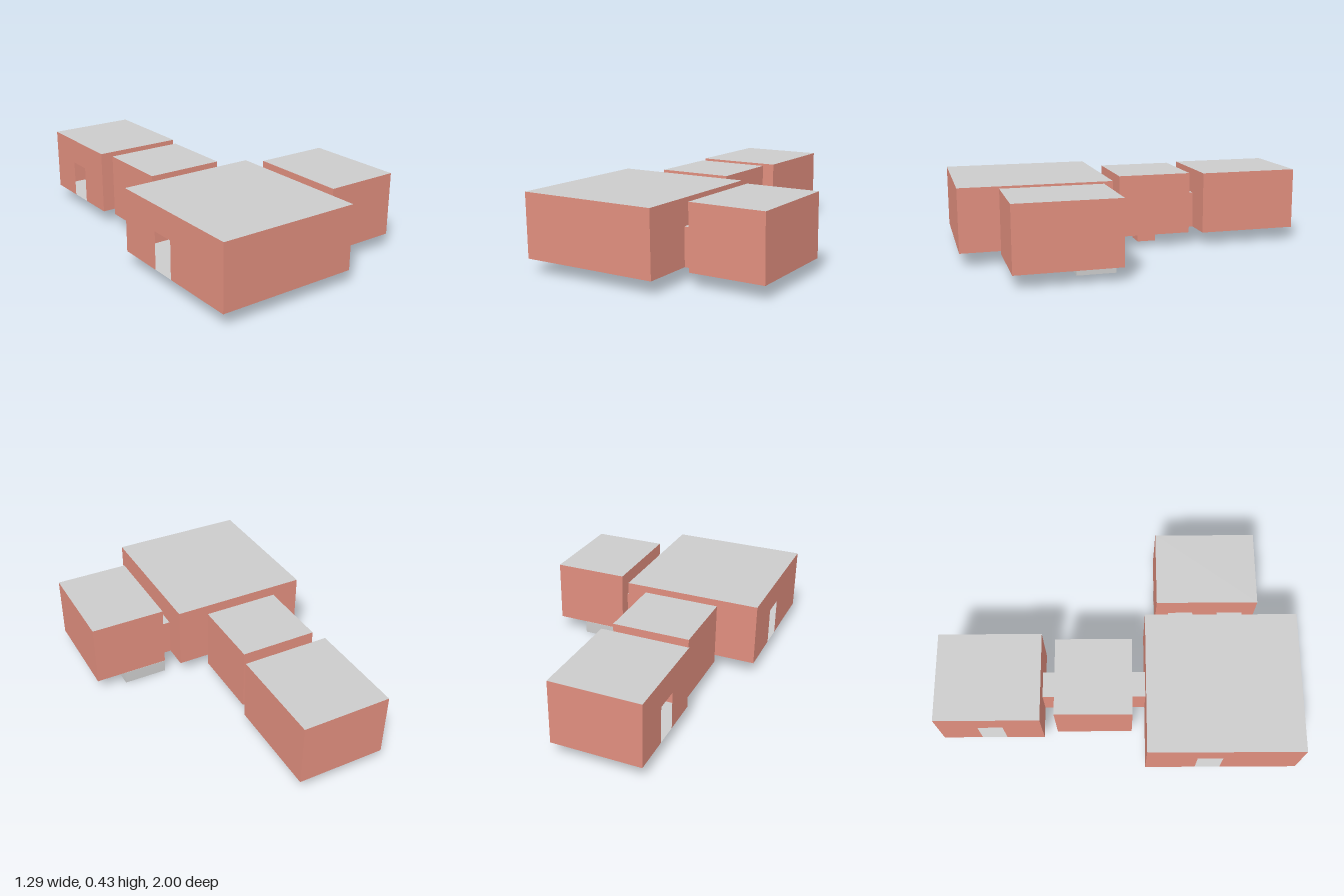
import * as THREE from 'three';

const FLOOR = 0.075, ROOF = 0.43, DOOR = 0.285;
const grey = new THREE.MeshStandardMaterial({ color: 0xcccccc, side: THREE.DoubleSide });
const coral = new THREE.MeshStandardMaterial({ color: 0xe08e7e, side: THREE.DoubleSide });

// Upright sheet along x or z from a to b, with door notches cut from the floor
function wall(axis, a, b, at, top, doors = []) {
  const s = new THREE.Shape();
  s.moveTo(b, top);
  s.lineTo(a, top);
  s.lineTo(a, FLOOR);
  for (const [d0, d1] of doors) {
    s.lineTo(d0, FLOOR);
    s.lineTo(d0, DOOR);
    s.lineTo(d1, DOOR);
    s.lineTo(d1, FLOOR);
  }
  s.lineTo(b, FLOOR);
  s.closePath();
  const m = new THREE.Mesh(new THREE.ShapeGeometry(s), coral);
  if (axis === 'x') m.position.z = at;
  else {
    m.rotation.y = -Math.PI / 2;
    m.position.x = at;
  }
  m.name = 'wall';
  return m;
}

// Level sheet for floors and roofs
function slab(name, [x0, x1, z0, z1], y) {
  const g = new THREE.PlaneGeometry(x1 - x0, z1 - z0).rotateX(-Math.PI / 2);
  const m = new THREE.Mesh(g, grey);
  m.position.set((x0 + x1) / 2, y, (z0 + z1) / 2);
  m.name = name;
  return m;
}

// Room with optional doors in each wall
function room(name, r, { front, back, left, right } = {}) {
  const [x0, x1, z0, z1] = r;
  const g = new THREE.Group();
  g.name = name;
  g.add(
    slab('floor', r, FLOOR), slab('roof', r, ROOF),
    wall('x', x0, x1, z1, ROOF, front), wall('x', x0, x1, z0, ROOF, back),
    wall('z', z0, z1, x1, ROOF, left), wall('z', z0, z1, x0, ROOF, right),
  );
  return g;
}

// Short passage, open at both ends
function corridor(name, r, along) {
  const [x0, x1, z0, z1] = r;
  const g = new THREE.Group();
  g.name = name;
  g.add(slab('floor', r, FLOOR), slab('roof', r, DOOR));
  if (along === 'z') g.add(wall('z', z0, z1, x0, DOOR), wall('z', z0, z1, x1, DOOR));
  else g.add(wall('x', x0, x1, z0, DOOR), wall('x', x0, x1, z1, DOOR));
  return g;
}

function block(name, [x0, x1, z0, z1], materials) {
  const m = new THREE.Mesh(new THREE.BoxGeometry(x1 - x0, FLOOR - 0.002, z1 - z0), materials);
  m.position.set((x0 + x1) / 2, FLOOR / 2 - 0.001, (z0 + z1) / 2);
  m.name = name;
  return m;
}

export function createModel() {
  const model = new THREE.Group();
  model.name = 'linkedRooms';
  const rowDoor = [[-0.29, -0.145]];
  const sideDoors = [[0.29, 0.43], [0.57, 0.715]];

  // Rooms
  model.add(
    room('mainRoom', [-0.643, 0.145, 0.15, 1], { back: rowDoor, left: sideDoors, right: [[0.43, 0.57]] }),
    room('middleRoom', [-0.433, 0, -0.35, 0.075], { front: rowDoor, back: rowDoor }),
    room('backRoom', [-0.465, 0.032, -1, -0.425], { front: rowDoor, right: [[-0.78, -0.64]] }),
    room('sideRoom', [0.217, 0.643, 0.218, 0.785], { right: sideDoors }),
  );

  // Corridors between them
  for (const [z0, z1] of [[0.075, 0.15], [-0.425, -0.35]])
    model.add(corridor('rowCorridor', [...rowDoor[0], z0, z1], 'z'));
  for (const d of sideDoors) model.add(corridor('sideCorridor', [0.145, 0.217, ...d], 'x'));

  // Blocks under the floors
  model.add(
    block('sunkenPit', [-0.275, -0.155, -0.19, -0.08], [coral, coral, grey, grey, coral, coral]),
    block('lowerStep', [0.218, 0.472, 0.219, 0.432], grey),
  );
  return model;
}
